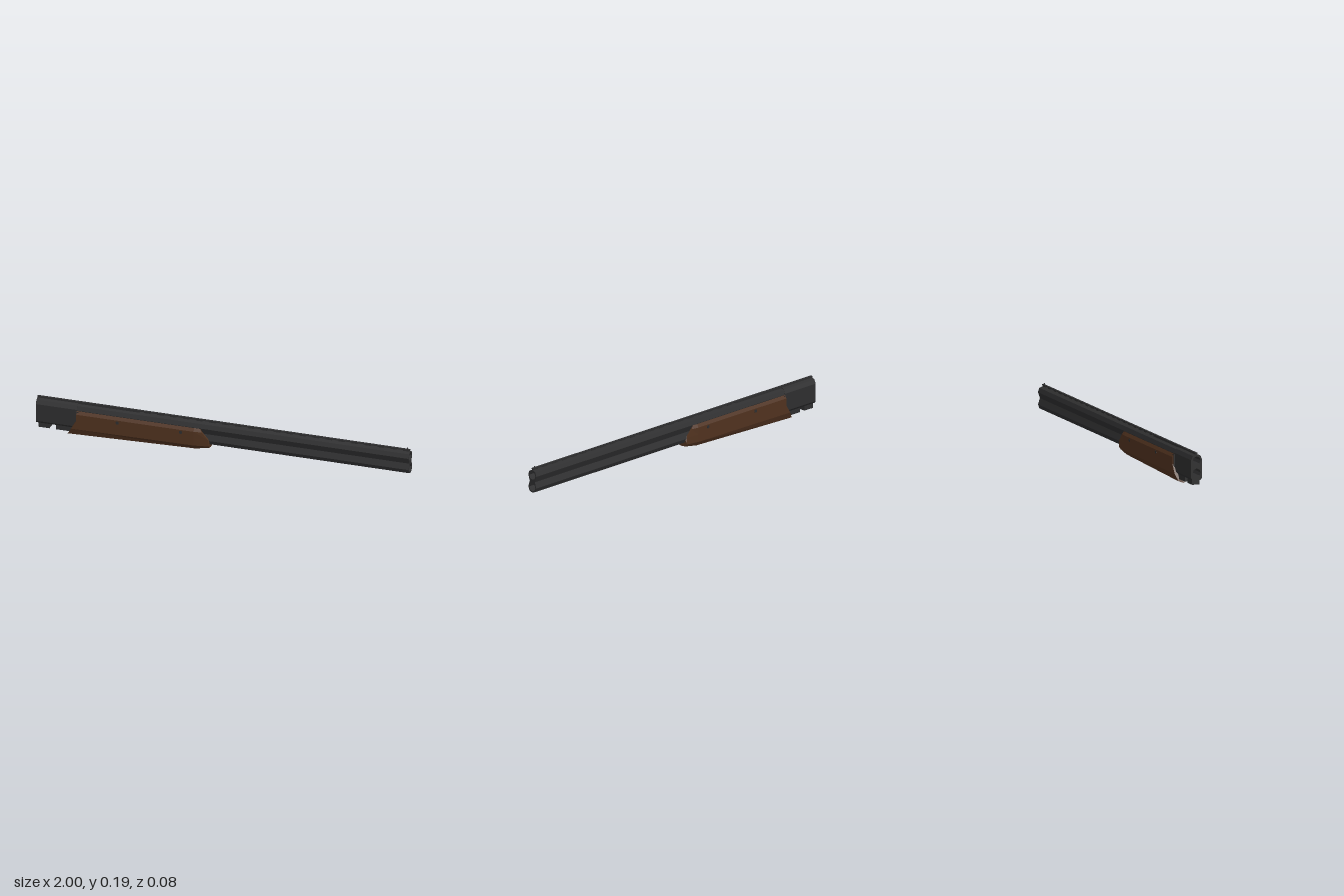
import * as THREE from 'three';

const metal = new THREE.MeshStandardMaterial({ color: 0x2e2e2f, flatShading: true });
metal.name = 'blued steel';
const wood = new THREE.MeshStandardMaterial({ color: 0x50321f, flatShading: true });
wood.name = 'walnut';

const UPPER = 0.146, LOWER = 0.083, BORE = 0.022;
const mirror = half => [...half, ...half.slice(0, -1).reverse().map(([z, y]) => [-z, y])];
const toVec = pts => pts.map(([a, b]) => new THREE.Vector2(a, b));

function add(group, name, geometry, material) {
  const mesh = new THREE.Mesh(geometry, material);
  mesh.name = name;
  group.add(mesh);
  return mesh;
}

function addBox(group, name, x0, x1, y0, y1, z0, z1) {
  const mesh = add(group, name, new THREE.BoxGeometry(x1 - x0, y1 - y0, z1 - z0), metal);
  mesh.position.set((x0 + x1) / 2, (y0 + y1) / 2, (z0 + z1) / 2);
}

// Symmetric section with two octagonal bores, extruded along x
function boredBlock(half, x0, x1) {
  const pts = mirror(half);
  const shape = new THREE.Shape(toVec(pts.slice(0, -1)));
  for (const cy of [UPPER, LOWER]) {
    const ring = [];
    for (let i = 0; i < 8; i++) {
      const a = i * Math.PI / 4;
      ring.push([BORE * Math.cos(a), cy + BORE * Math.sin(a)]);
    }
    shape.holes.push(new THREE.Path(toVec(ring)));
  }
  const geo = new THREE.ExtrudeGeometry(shape, { depth: x1 - x0, bevelEnabled: false });
  return geo.rotateY(Math.PI / 2).translate(x0, 0, 0);
}

// U-shaped wooden fore-end lofted through three sections
function foreEndGeometry() {
  const outer = mirror([[0.031, 0.145], [0.04, 0.128], [0.04, 0.09], [0.04, 0.045], [0.027, 0.01], [0, 0]]);
  const inner = mirror([[0.026, 0.14], [0.026, 0.12], [0.026, 0.1], [0.026, 0.083], [0.018, 0.063], [0, 0.058]]);
  const loop = [...outer, ...inner.slice().reverse()];
  const n = outer.length, m = loop.length;
  const ramp = (y, a, b) => THREE.MathUtils.clamp((y - a) / (b - a), 0, 1);
  const stations = [
    { x: y => -0.83 + 0.05 * ramp(y, 0.01, 0.09), rise: 1, width: 1 },
    { x: () => -0.15, rise: 0.62, width: 1 },
    { x: y => -0.07 - 0.05 * ramp(y, 0.085, 0.14), rise: 0.35, width: 0.88 },
  ];
  const pos = [], idx = [];
  for (const s of stations) {
    for (const [z, y] of loop) {
      const yy = y < 0.06 ? 0.06 - (0.06 - y) * s.rise : y;
      pos.push(s.x(y), yy, Math.abs(z) > 0.03 ? z * s.width : z);
    }
  }
  const quad = (a, b, c, d) => idx.push(a, b, c, a, c, d);
  for (let s = 0; s < stations.length - 1; s++) {
    for (let i = 0; i < m; i++) {
      const j = (i + 1) % m;
      quad(s * m + i, s * m + j, (s + 1) * m + j, (s + 1) * m + i);
    }
  }
  // End caps join the outer and inner walls
  const end = (stations.length - 1) * m;
  for (let i = 0; i < n - 1; i++) {
    const p = m - 1 - i, q = m - 2 - i;
    quad(end + i, end + i + 1, end + q, end + p);
    quad(p, q, i + 1, i);
  }
  const geo = new THREE.BufferGeometry();
  geo.setAttribute('position', new THREE.Float32BufferAttribute(pos, 3));
  geo.setIndex(idx);
  const flat = geo.toNonIndexed();
  flat.computeVertexNormals();
  return flat;
}

export function createModel() {
  const model = new THREE.Group();
  model.name = 'stackedBarrels';

  // Over-and-under tubes joined by side ribs
  add(model, 'barrels', boredBlock([
    [0, 0.177], [0.021, 0.168], [0.029, UPPER], [0.022, 0.126], [0.018, 0.1145],
    [0.022, 0.103], [0.029, LOWER], [0.021, 0.062], [0, 0.054],
  ], -0.8, 1), metal);

  // Breech block with locking lugs below
  add(model, 'breechBlock', boredBlock([
    [0, 0.18], [0.021, 0.171], [0.03, 0.15], [0.03, 0.056], [0.022, 0.045], [0, 0.045],
  ], -1, -0.78), metal);
  addBox(model, 'rearLug', -0.99, -0.93, 0.02, 0.05, -0.021, 0.021);
  addBox(model, 'frontLug', -0.895, -0.8, 0.02, 0.05, -0.021, 0.021);

  // Fore-end and its metal fittings
  add(model, 'foreEnd', foreEndGeometry(), wood);
  for (const s of [-1, 1]) {
    addBox(model, 'foreEndIron', -0.788, -0.77, 0.07, 0.142, s * 0.031 - 0.004, s * 0.031 + 0.004);
    for (const x of [-0.56, -0.22]) {
      const pin = add(model, 'foreEndPin', new THREE.CylinderGeometry(0.009, 0.009, 0.006, 8), metal);
      pin.rotation.x = Math.PI / 2;
      pin.position.set(x, 0.115, s * 0.0385);
    }
  }

  // Sighting rib: solid at the breech, ventilated toward the muzzle
  addBox(model, 'solidRib', -1, -0.45, 0.17, 0.186, -0.006, 0.006);
  addBox(model, 'ribStrip', -0.45, 1, 0.181, 0.186, -0.006, 0.006);
  for (let i = 0; i <= 20; i++) {
    const x = -0.41 + i * 0.0695;
    addBox(model, 'ribPost', x - 0.017, x + 0.017, 0.17, 0.182, -0.004, 0.004);
  }

  // Front sight bead
  const bead = add(model, 'frontBead', new THREE.CylinderGeometry(0.003, 0.004, 0.014, 8), metal);
  bead.position.set(0.985, 0.186, 0);
  return model;
}
